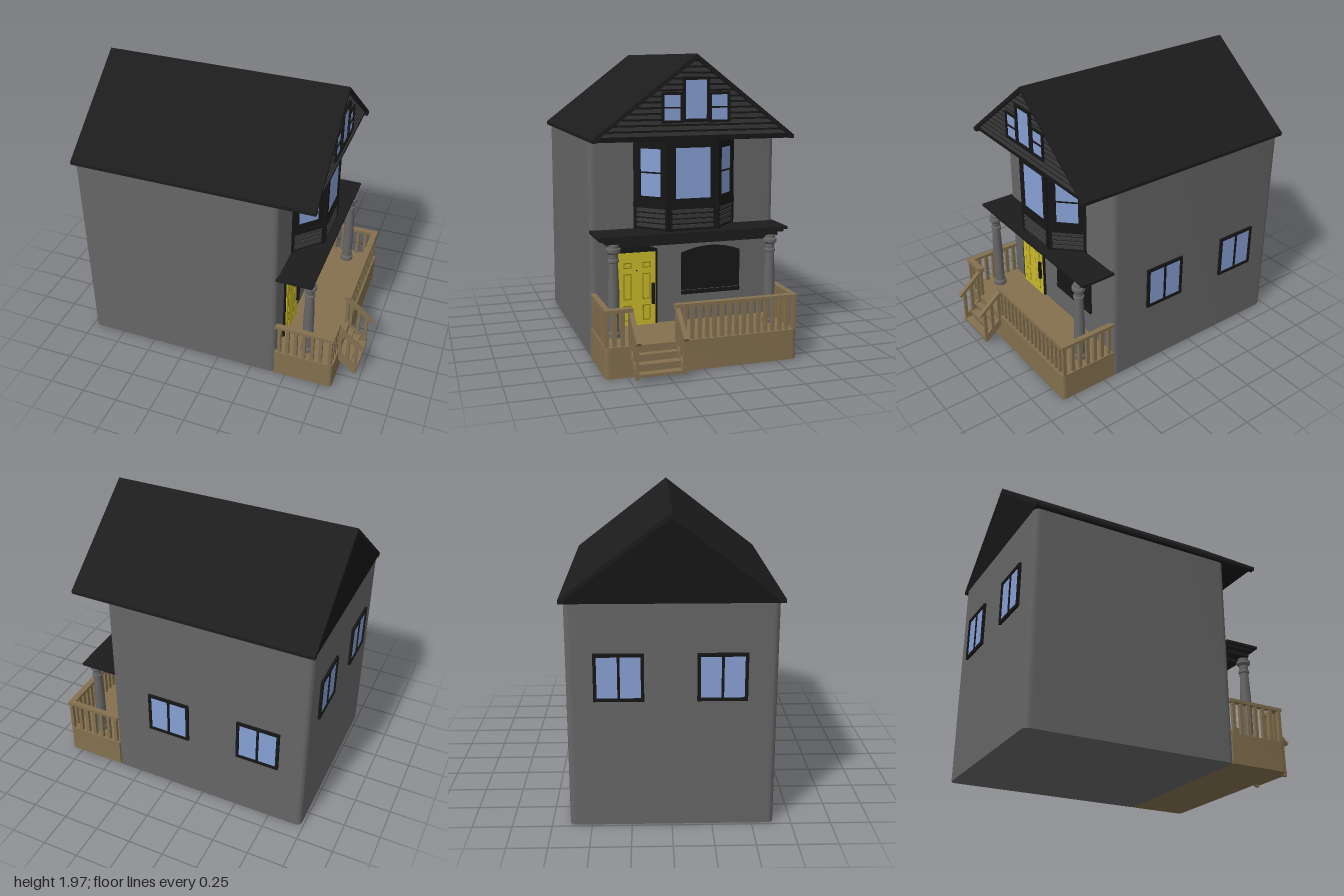
import * as THREE from 'three';
import { toCreasedNormals } from 'three/addons/utils/BufferGeometryUtils.js';

const mat = (color) => new THREE.MeshStandardMaterial({ color, side: THREE.DoubleSide });
const M = {
  wall: mat(0x666666), roof: mat(0x1c1c1c), trim: mat(0x161616), siding: mat(0x383838),
  wood: mat(0x83704f), glass: mat(0x869fd4), door: mat(0xcbbb2a), groove: mat(0x8a7e18),
};

function add(parent, name, geometry, material) {
  const mesh = new THREE.Mesh(geometry, material);
  mesh.name = name;
  parent.add(mesh);
  return mesh;
}

// Box given by its lower and upper limits on each axis
function box(parent, name, material, x0, x1, y0, y1, z0, z1) {
  const mesh = add(parent, name, new THREE.BoxGeometry(x1 - x0, y1 - y0, z1 - z0), material);
  mesh.position.set((x0 + x1) / 2, (y0 + y1) / 2, (z0 + z1) / 2);
  return mesh;
}

function group(parent, name) {
  const g = new THREE.Group();
  g.name = name;
  parent.add(g);
  return g;
}

const poly = (pts) => new THREE.Shape(pts.map(([x, y]) => new THREE.Vector2(x, y)));
const extrude = (shape, depth) =>
  new THREE.ExtrudeGeometry(shape, { depth, bevelEnabled: false, curveSegments: 8 });

// Plan outline (x, z) raised from y0 to y1
function slab(parent, name, material, shape, y0, y1) {
  const geo = extrude(shape, y1 - y0).rotateX(-Math.PI / 2).translate(0, y0, 0);
  return add(parent, name, toCreasedNormals(geo, 0.6), material);
}

// Elevation outline (-z, y) pushed from x0 to x1
function across(parent, name, material, shape, x0, x1) {
  const geo = extrude(shape, x1 - x0).rotateY(Math.PI / 2).translate(x0, 0, 0);
  return add(parent, name, geo, material);
}

// Rectangle with rounded corners; r0 at the x0 end, r1 at the x1 end
function roundedPlan(x0, x1, hz, r0, r1) {
  const s = new THREE.Shape();
  s.moveTo(x0 + r0, -hz);
  s.lineTo(x1 - r1, -hz);
  s.quadraticCurveTo(x1, -hz, x1, -hz + r1);
  s.lineTo(x1, hz - r1);
  s.quadraticCurveTo(x1, hz, x1 - r1, hz);
  s.lineTo(x0 + r0, hz);
  if (r0) s.quadraticCurveTo(x0, hz, x0, hz - r0);
  s.lineTo(x0, -hz + r0);
  if (r0) s.quadraticCurveTo(x0, -hz, x0 + r0, -hz);
  return s;
}

// Framed window facing local +z, with optional middle bars
function windowUnit(parent, name, w, h, f, depth, { vertical, horizontal } = {}) {
  const g = group(parent, name);
  const a = w / 2, b = h / 2;
  box(g, 'glass', M.glass, -a + f, a - f, -b + f, b - f, 0, depth * 0.5);
  for (const s of [-1, 1]) {
    const x = s * (a - f / 2), y = s * (b - f / 2);
    box(g, 'frameSide', M.trim, x - f / 2, x + f / 2, -b, b, -0.01, depth);
    box(g, 'frameEnd', M.trim, -a + f, a - f, y - f / 2, y + f / 2, -0.01, depth);
  }
  if (vertical) box(g, 'middleBar', M.trim, -0.008, 0.008, -b + f, b - f, 0, depth * 0.9);
  if (horizontal) box(g, 'middleBar', M.trim, -a + f, a - f, -0.005, 0.005, 0, depth * 0.9);
  return g;
}

function place(obj, x, y, z, turn) {
  obj.position.set(x, y, z);
  obj.rotation.y = turn;
}

function archShape(u0, u1, y0, spring, top) {
  const s = new THREE.Shape();
  s.moveTo(u0, y0);
  s.lineTo(u1, y0);
  s.lineTo(u1, spring);
  s.quadraticCurveTo((u0 + u1) / 2, 2 * top - spring, u0, spring);
  return s;
}

function buildRoof(house) {
  const roof = group(house, 'roof');
  across(roof, 'roofShell', M.roof, poly([[-0.667, 1.433], [-0.63, 1.433], [-0.63, 1.455], [0, 1.935],
    [0.63, 1.455], [0.63, 1.433], [0.667, 1.433], [0.667, 1.455], [0, 1.97], [-0.667, 1.455]]), -0.99, 0.67);
  across(roof, 'gableCore', M.trim, poly([[-0.64, 1.433], [0.64, 1.433], [0.63, 1.46], [0, 1.94], [-0.63, 1.46]]),
    -0.985, 0.645);
  // Clapboards narrowing towards the ridge
  for (let y = 1.465; y < 1.9; y += 0.036) {
    const half = (v) => (1.935 - v) * 1.31;
    const a = half(y), b = half(y + 0.023);
    across(roof, 'gableBoard', M.siding, poly([[-a, y], [a, y], [b, y + 0.023], [-b, y + 0.023]]), 0.64, 0.652);
  }
  place(windowUnit(roof, 'atticWindow', 0.18, 0.28, 0.02, 0.022), 0.645, 1.69, 0, Math.PI / 2);
  for (const s of [-1, 1])
    place(windowUnit(roof, 'atticSideWindow', 0.14, 0.19, 0.016, 0.018, { horizontal: true }),
      0.645, 1.64, s * 0.155, Math.PI / 2);
}

function buildBay(house) {
  const bay = group(house, 'bayWindow');
  slab(bay, 'bayCore', M.trim, poly([[0.42, -0.34], [0.6, -0.16], [0.6, 0.16], [0.42, 0.34]]), 0.85, 1.433);
  // Each face holds a window above a boarded panel
  const faces = [[0.6, 0, Math.PI / 2, 0.32], [0.51, 0.25, Math.PI / 4, 0.25], [0.51, -0.25, Math.PI * 0.75, 0.25]];
  for (const [x, z, turn, w] of faces) {
    const face = group(bay, 'bayFace');
    place(face, x, 0, z, turn);
    windowUnit(face, 'window', w, 0.41, w > 0.3 ? 0.043 : 0.052, 0.012, { horizontal: w < 0.3 })
      .position.y = 1.222;
    box(face, 'panelFrame', M.trim, -w / 2, w / 2, 0.995, 1.025, -0.01, 0.018);
    for (const s of [-1, 1])
      box(face, 'panelPost', M.trim, s * (w / 2 - 0.01) - 0.01, s * (w / 2 - 0.01) + 0.01, 0.85, 1, -0.01, 0.014);
    for (let i = 0; i < 4; i++)
      box(face, 'panelBoard', M.siding, -w / 2 + 0.02, w / 2 - 0.02, 0.868 + i * 0.033, 0.89 + i * 0.033, -0.005, 0.01);
  }
}

function buildEntrance(house) {
  // Door with arched surround, panels and handle
  const door = group(house, 'frontDoor');
  across(door, 'doorSurround', M.trim, archShape(-0.478, -0.188, 0.2, 0.705, 0.738), 0.42, 0.44);
  box(door, 'doorLeaf', M.door, 0.43, 0.446, 0.2, 0.69, 0.205, 0.459);
  for (const z of [0.395, 0.265])
    for (const [y0, y1] of [[0.232, 0.337], [0.375, 0.55], [0.587, 0.625]]) {
      box(door, 'panelGroove', M.groove, 0.44, 0.447, y0, y1, z - 0.027, z + 0.027);
      box(door, 'doorPanel', M.door, 0.44, 0.449, y0 + 0.007, y1 - 0.007, z - 0.02, z + 0.02);
    }
  box(door, 'doorHandle', M.trim, 0.445, 0.465, 0.34, 0.48, 0.213, 0.232);
  box(door, 'peephole', M.trim, 0.445, 0.45, 0.567, 0.575, 0.329, 0.337);
  // Arched dark window with a sill
  across(house, 'archedWindow', M.trim, archShape(-0.02, 0.395, 0.41, 0.665, 0.705), 0.42, 0.437);
  box(house, 'windowSill', M.trim, 0.42, 0.442, 0.38, 0.405, -0.395, 0.02);
}

function buildPorch(house) {
  const porch = group(house, 'porch');
  slab(porch, 'porchBase', M.wood, roundedPlan(0.42, 0.835, 0.638, 0, 0.03), 0, 0.2);

  // Stepped cornice
  for (const [y0, y1, x0, x1, hz] of [[0.832, 0.85, 0.42, 0.665, 0.64], [0.814, 0.832, 0.42, 0.645, 0.62],
    [0.79, 0.814, 0.42, 0.635, 0.58], [0.767, 0.79, 0.46, 0.61, 0.51]])
    box(porch, 'porchRoof', M.roof, x0, x1, y0, y1, -hz, hz);

  // Columns
  const profile = [[0, 0.2], [0.046, 0.2], [0.046, 0.225], [0.036, 0.24], [0.036, 0.5], [0.029, 0.68], [0.036, 0.685],
    [0.036, 0.7], [0.029, 0.705], [0.031, 0.735], [0.045, 0.75], [0.045, 0.77], [0.034, 0.775], [0.034, 0.795], [0, 0.795]];
  const columnGeo = toCreasedNormals(
    new THREE.LatheGeometry(profile.map(([r, y]) => new THREE.Vector2(r, y)), 20), 0.5);
  for (const s of [-1, 1]) add(porch, 'column', columnGeo, M.wall).position.set(0.625, 0, s * 0.532);

  // Railings along the front, either side of the steps
  for (const [z0, z1] of [[-0.638, 0.185], [0.46, 0.638]]) {
    box(porch, 'frontRail', M.wood, 0.79, 0.833, 0.413, 0.435, z0, z1);
    const n = Math.round((z1 - z0) / 0.048);
    for (let i = 0; i < n; i++) {
      const z = z0 + 0.013 + (z1 - z0 - 0.026) * i / (n - 1);
      box(porch, 'baluster', M.wood, 0.8, 0.824, 0.2, 0.413, z - 0.012, z + 0.012);
    }
  }
  // Railings along the sides
  for (const s of [-1, 1]) {
    const z = s * 0.62;
    box(porch, 'sideRail', M.wood, 0.42, 0.79, 0.413, 0.435, z - 0.018, z + 0.018);
    for (let x = 0.45; x < 0.79; x += 0.0585)
      box(porch, 'baluster', M.wood, x - 0.012, x + 0.012, 0.2, 0.413, z - 0.011, z + 0.011);
  }

  // Steps with sloping stringers and handrails
  const steps = group(porch, 'steps');
  for (let i = 0; i < 3; i++)
    box(steps, 'tread', M.wood, 0.825 + i * 0.046, 0.878 + i * 0.046, 0.135 - i * 0.046, 0.153 - i * 0.046, 0.185, 0.46);
  const stringer = poly([[0.825, 0.195], [0.825, 0.13], [0.945, 0.03], [0.967, 0.03], [0.967, 0.075]]);
  const handrail = poly([[0.79, 0.413], [0.99, 0.25], [1.0, 0.268], [0.8, 0.435], [0.79, 0.435]]);
  for (const z of [0.173, 0.471]) {
    add(steps, 'stringer', extrude(stringer, 0.02), M.wood).position.z = z - 0.01;
    add(steps, 'handrail', extrude(handrail, 0.03), M.wood).position.z = z - 0.015;
    for (const x of [0.84, 0.898, 0.955])
      box(steps, 'stairBaluster', M.wood, x - 0.011, x + 0.011, 0.17 - (x - 0.83) * 0.9, 0.42 - (x - 0.79) * 0.82, z - 0.009, z + 0.009);
  }
}

export function createModel() {
  const house = new THREE.Group();
  house.name = 'house';
  slab(house, 'walls', M.wall, roundedPlan(-0.983, 0.428, 0.638, 0.045, 0.045), 0, 1.433);
  buildRoof(house);
  buildBay(house);
  buildEntrance(house);
  buildPorch(house);
  // Paired-pane windows on the rear and far side
  for (const z of [-0.32, 0.303])
    place(windowUnit(house, 'rearWindow', 0.305, 0.3, 0.02, 0.017, { vertical: true }), -0.983, 0.98, z, -Math.PI / 2);
  for (const x of [0, -0.65])
    place(windowUnit(house, 'sideWindow', 0.3, 0.3, 0.02, 0.015, { vertical: true }), x, 0.61, -0.638, Math.PI);
  return house;
}
